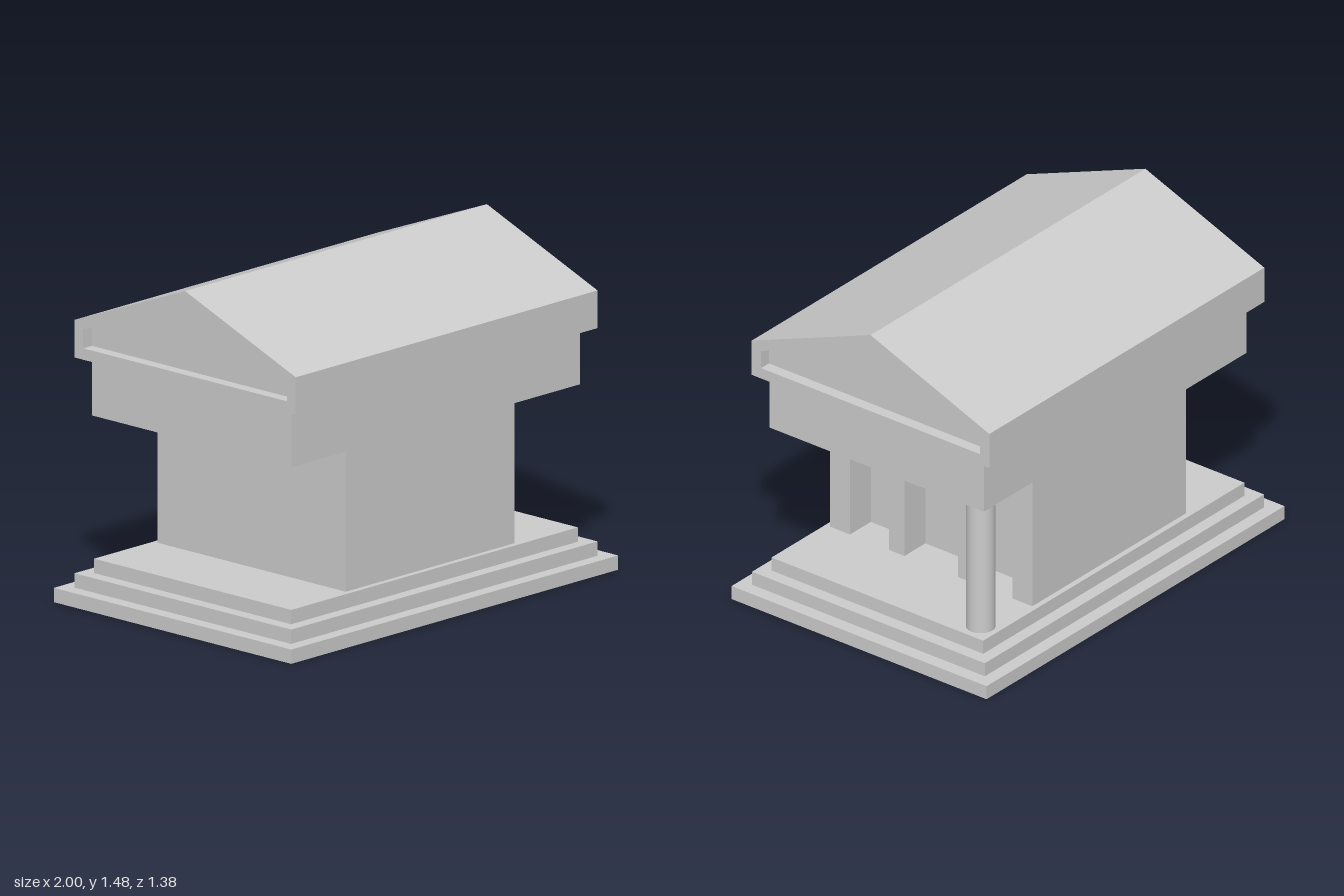
import * as THREE from 'three';

export function createModel() {
  const model = new THREE.Group();
  const stone = new THREE.MeshStandardMaterial({ color: 0xcccccc });
  stone.name = 'pale grey stone';

  const add = (name, geometry, x = 0, y = 0, z = 0) => {
    const mesh = new THREE.Mesh(geometry, stone);
    mesh.name = name;
    mesh.position.set(x, y, z);
    model.add(mesh);
    return mesh;
  };
  // box given by its x, y and z ranges
  const block = (name, [x0, x1], [y0, y1], [z0, z1]) =>
    add(name, new THREE.BoxGeometry(x1 - x0, y1 - y0, z1 - z0),
      (x0 + x1) / 2, (y0 + y1) / 2, (z0 + z1) / 2);

  // stepped platform
  const floor = 0.188, ceiling = 0.815;
  [[1, 0.69], [0.937, 0.63], [0.877, 0.573]].forEach(([x, z], i) =>
    block('step' + (i + 1), [-x, x], [i * floor / 3, (i + 1) * floor / 3], [-z, z]));

  // inner chamber, with a shallow porch of wall ends and square piers
  const wallY = [floor, ceiling], porchX = [0.375, 0.515];
  block('chamber', [-0.515, 0.375], wallY, [-0.547, 0.547]);
  for (const s of [-1, 1]) {
    const side = (a, b) => (s > 0 ? [a, b] : [-b, -a]);
    block('wallEnd', porchX, wallY, side(0.44, 0.547));
    block('porchPier', porchX, wallY, side(0.145, 0.23));
  }

  // round corner column
  add('column', new THREE.CylinderGeometry(0.0625, 0.0625, ceiling - floor, 32),
    0.785, (floor + ceiling) / 2, -0.485);

  // beam block under the roof
  block('entablature', [-0.882, 0.882], [ceiling, 1.065], [-0.58, 0.58]);

  // gabled roof: solid middle and a framed recess at each end
  const gable = (half, base, eave, ridge, Type) => new Type(
    [[-half, base], [half, base], [half, eave], [0, ridge], [-half, eave]]
      .map(([x, y]) => new THREE.Vector2(x, y)));
  const outline = () => gable(0.643, 1.065, 1.23, 1.482, THREE.Shape);
  const roofPart = (name, shape, x0, x1) => {
    const geometry = new THREE.ExtrudeGeometry(shape, { depth: x1 - x0, bevelEnabled: false });
    geometry.rotateY(Math.PI / 2);
    add(name, geometry, x0);
  };
  const end = 0.923, back = 0.87;
  roofPart('roof', outline(), -back, back);
  const frame = outline();
  frame.holes.push(gable(0.592, 1.115, 1.198, 1.43, THREE.Path));
  roofPart('leftPedimentFrame', frame, back, end);
  roofPart('rightPedimentFrame', frame, -end, -back);

  return model;
}
